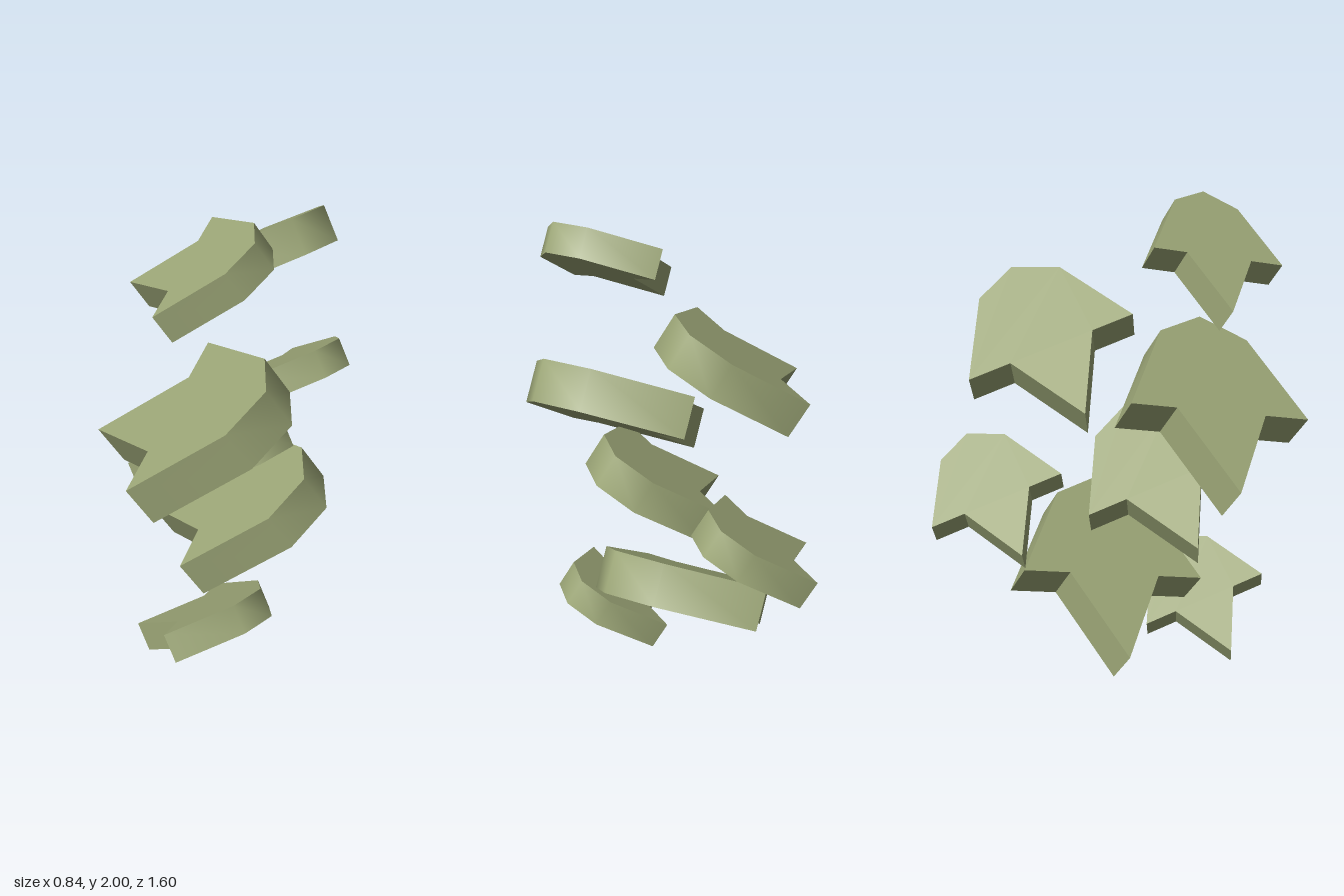
import * as THREE from 'three';
import { toCreasedNormals } from 'three/addons/utils/BufferGeometryUtils.js';

// Half-width 1 outline: rounded front end, pointed tail flanked by two wing points
const OUTLINE = [
  [0, 1], [0, 0.5], [-0.955, 0], [0, -0.5], [0, -1],
  [0.955, -0.5], [1.2, 0], [0.955, 0.5],
];
const THICKNESS = 0.44;
const TILT = THREE.MathUtils.degToRad(15);
const RISE = THREE.MathUtils.degToRad(30);

// Centre of the top face, half-width, and direction of the sideways tilt
const LEAVES = [
  { pos: [-0.02, 0.235, 0.39], size: 0.28, side: -1 },
  { pos: [-0.09, 0.505, -0.05], size: 0.404, side: 1 },
  { pos: [-0.10, 0.912, 0.16], size: 0.337, side: -1 },
  { pos: [-0.02, 0.92, -0.525], size: 0.28, side: -1 },
  { pos: [-0.09, 1.195, 0.41], size: 0.404, side: 1 },
  { pos: [-0.10, 1.60, -0.305], size: 0.337, side: -1 },
  { pos: [-0.02, 1.84, 0.405], size: 0.28, side: 1 },
];

// Flat slab with its top face at y = 0; the rounded rim is smooth, other edges sharp
function leafGeometry() {
  const shape = new THREE.Shape(OUTLINE.map(([x, y]) => new THREE.Vector2(x, y)));
  const slab = new THREE.ExtrudeGeometry(shape, { depth: THICKNESS, bevelEnabled: false });
  slab.rotateX(-Math.PI / 2);
  slab.translate(0, -THICKNESS, 0);
  return toCreasedNormals(slab, THREE.MathUtils.degToRad(58));
}

export function createModel() {
  const group = new THREE.Group();
  group.name = 'leafCluster';
  const olive = new THREE.MeshStandardMaterial({ color: 0x9ca677 });
  olive.name = 'olive green';
  const geometry = leafGeometry();

  LEAVES.forEach(({ pos, size, side }, i) => {
    const leaf = new THREE.Mesh(geometry, olive);
    leaf.name = `leaf${i + 1}`;
    leaf.position.set(...pos);
    leaf.rotation.set(side * TILT, 0, RISE);
    leaf.scale.setScalar(size);
    group.add(leaf);
  });
  return group;
}
